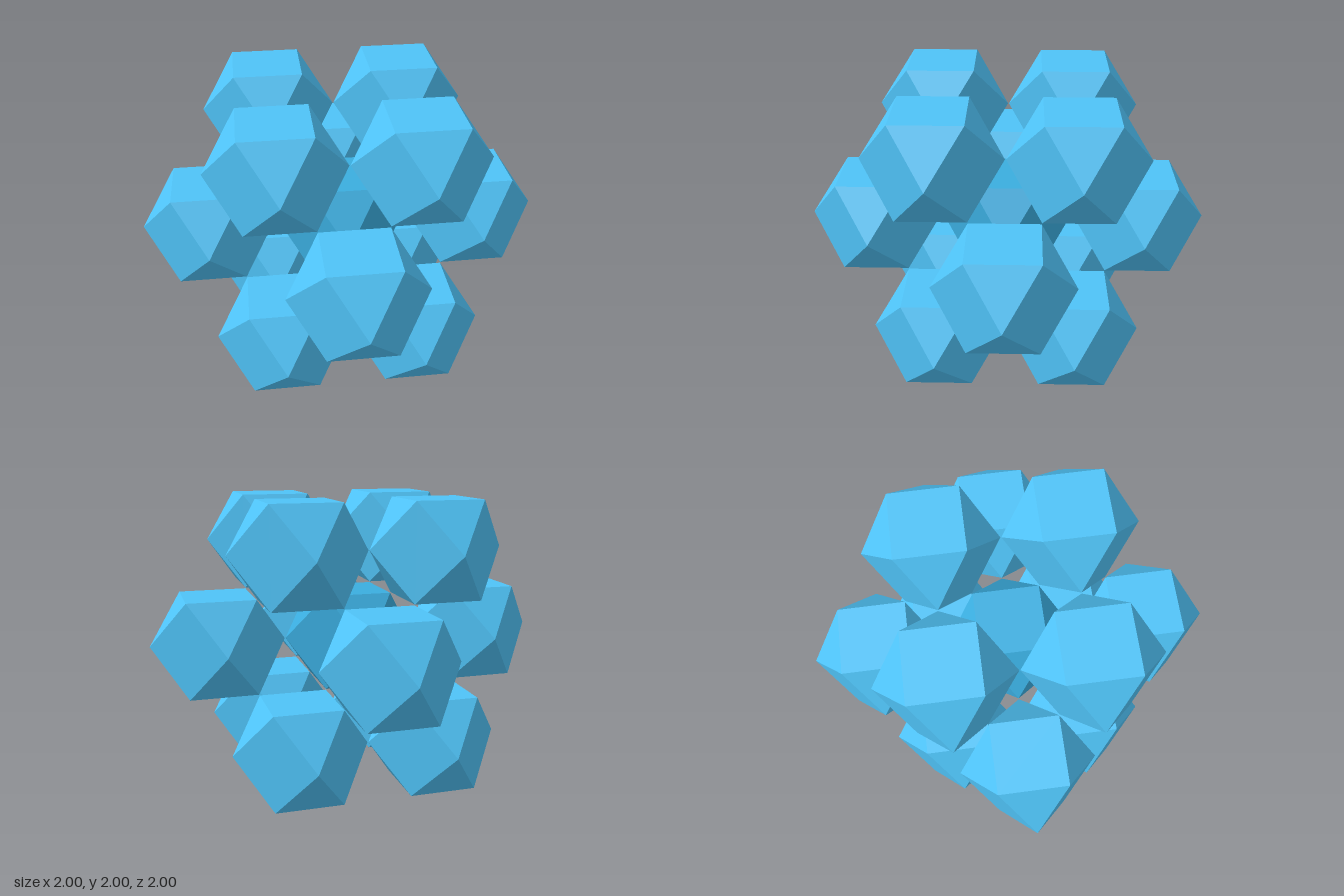
import * as THREE from 'three';
import { ConvexGeometry } from 'three/addons/geometries/ConvexGeometry.js';

const HALF = 0.3318;         // half width of one cuboctahedron
const STEP = 1 - HALF;       // leaves a hairline gap between neighbours

// The twelve edge midpoints of a cube: (±1, ±1, 0) and its permutations
function edgeMidpoints() {
  const points = [];
  for (const a of [-1, 1]) {
    for (const b of [-1, 1]) {
      points.push(
        new THREE.Vector3(a, b, 0),
        new THREE.Vector3(a, 0, b),
        new THREE.Vector3(0, a, b)
      );
    }
  }
  return points;
}

export function createModel() {
  const group = new THREE.Group();
  group.name = 'cuboctahedronCluster';

  // Cuboctahedron: six squares and eight triangles
  const geometry = new ConvexGeometry(edgeMidpoints().map((p) => p.multiplyScalar(HALF)));
  const outerMaterial = new THREE.MeshStandardMaterial({ color: 0x4fc3f7, flatShading: true });
  const coreMaterial = new THREE.MeshStandardMaterial({ color: 0x3aaddf, flatShading: true });

  function addCell(name, position, material) {
    const cell = new THREE.Mesh(geometry, material);
    cell.name = name;
    cell.position.copy(position);
    cell.position.y += 1;
    group.add(cell);
  }

  // Core cell, with twelve neighbours touching it at its corners
  addCell('coreCell', new THREE.Vector3(), coreMaterial);
  edgeMidpoints().forEach((p, i) => {
    addCell(`outerCell${i + 1}`, p.multiplyScalar(STEP), outerMaterial);
  });

  return group;
}
